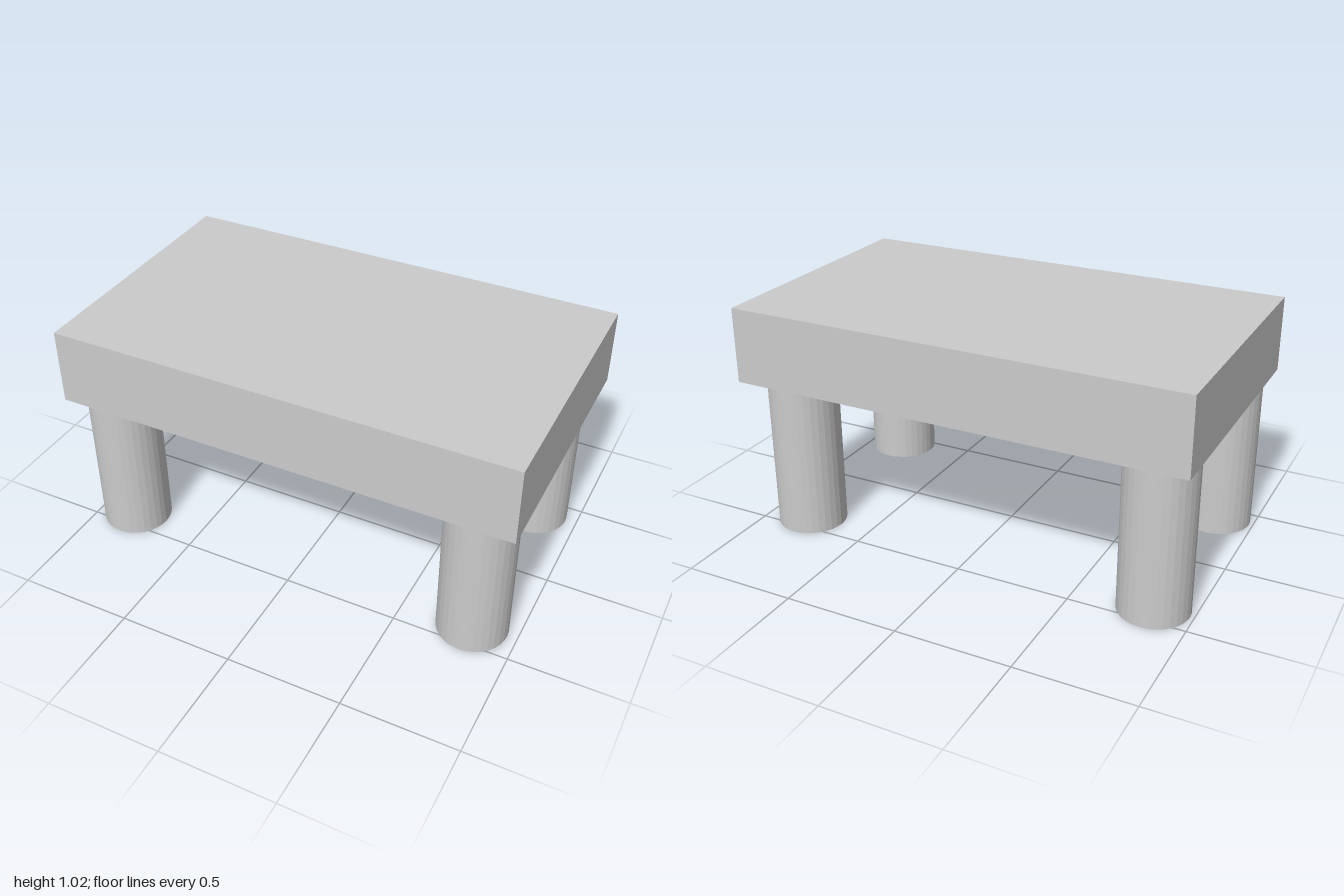
import * as THREE from 'three';

const material = new THREE.MeshStandardMaterial({ color: 0xcccccc, flatShading: true });
const skirtMaterial = new THREE.MeshStandardMaterial({
  color: 0xcccccc, flatShading: true, side: THREE.DoubleSide,
});

const WIDTH = 2, DEPTH = 1.165;
const TOP = 1.02, CEILING = 0.855, RIM = 0.69;
const LEG_RADIUS = 0.151;

function addMesh(parent, name, geometry, x, y, z, mat = material) {
  const mesh = new THREE.Mesh(geometry, mat);
  mesh.name = name;
  mesh.position.set(x, y, z);
  parent.add(mesh);
  return mesh;
}

export function createModel() {
  const table = new THREE.Group();
  table.name = 'table';

  // Solid upper half of the top
  addMesh(table, 'tableTop', new THREE.BoxGeometry(WIDTH, TOP - CEILING, DEPTH),
    0, (TOP + CEILING) / 2, 0);

  // Thin skirt hanging below it, leaving the underside recessed
  const skirt = new THREE.Group();
  skirt.name = 'skirt';
  table.add(skirt);
  const skirtHeight = CEILING - RIM;
  const skirtY = (CEILING + RIM) / 2;
  for (const s of [-1, 1]) {
    const longSide = new THREE.PlaneGeometry(WIDTH, skirtHeight);
    addMesh(skirt, s > 0 ? 'frontSkirt' : 'backSkirt', longSide, 0, skirtY, s * DEPTH / 2, skirtMaterial)
      .rotation.y = s > 0 ? 0 : Math.PI;
    const shortSide = new THREE.PlaneGeometry(DEPTH, skirtHeight);
    addMesh(skirt, s > 0 ? 'leftSkirt' : 'rightSkirt', shortSide, s * WIDTH / 2, skirtY, 0, skirtMaterial)
      .rotation.y = s * Math.PI / 2;
  }

  // Round legs, slightly uneven in placement; the front left one is a little short
  const legs = [
    ['frontLeftLeg', 0.81, 0.4, 0.015],
    ['frontRightLeg', -0.832, 0.408, 0],
    ['backLeftLeg', 0.8, -0.405, 0],
    ['backRightLeg', -0.832, -0.402, 0],
  ];
  for (const [name, x, z, foot] of legs) {
    const height = CEILING - foot;
    addMesh(table, name, new THREE.CylinderGeometry(LEG_RADIUS, LEG_RADIUS, height, 32),
      x, foot + height / 2, z);
  }

  return table;
}
